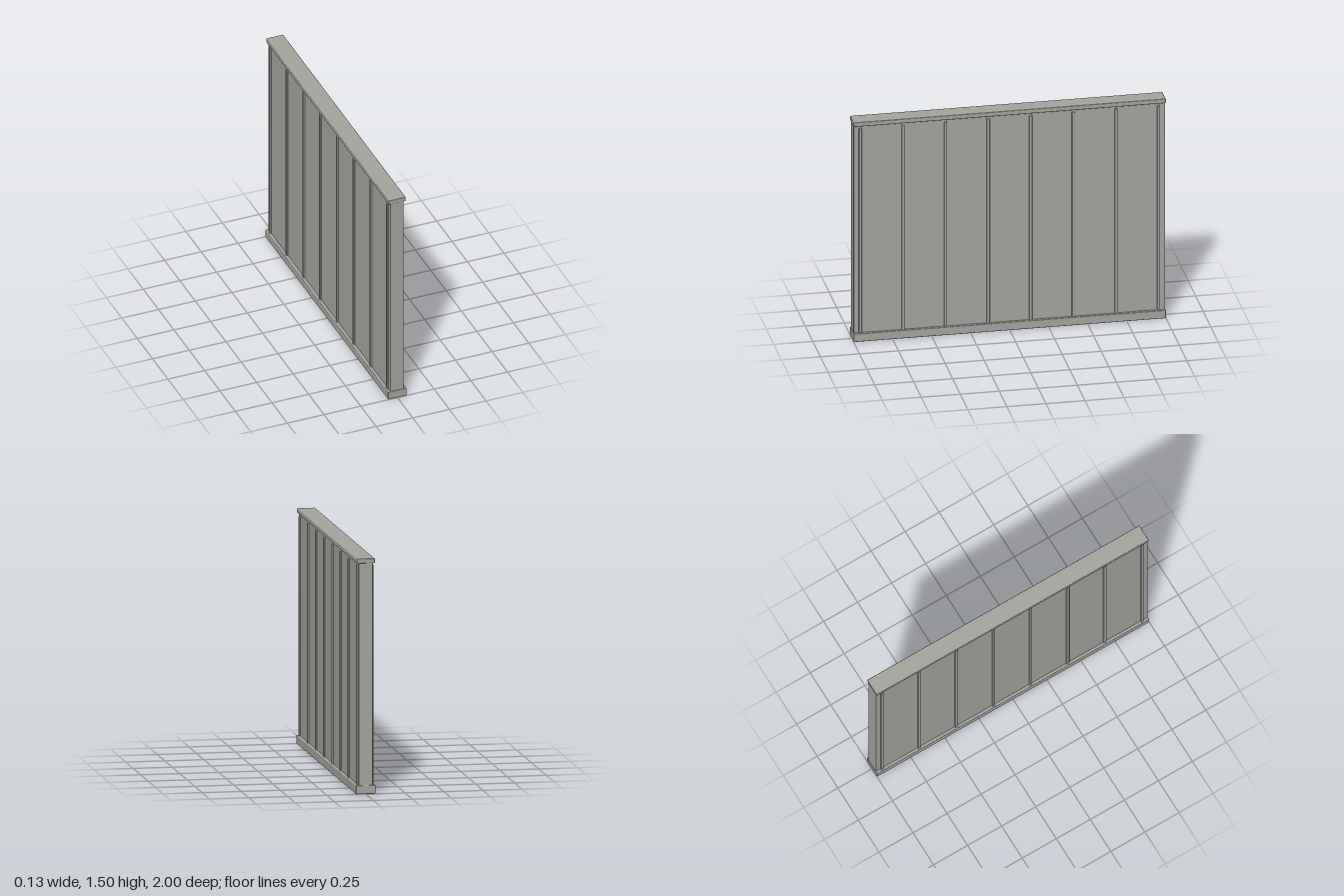
import * as THREE from 'three';
import { RoundedBoxGeometry } from 'three/addons/geometries/RoundedBoxGeometry.js';

export function createModel() {
  const model = new THREE.Group();
  model.name = 'wallPanel';
  const grey = new THREE.MeshStandardMaterial({ color: 0xa3a49e });
  grey.name = 'warmGrey';

  // Box with softened edges, placed by its bottom height
  function block(name, width, height, length, bevel, x, bottom, z) {
    const mesh = new THREE.Mesh(new RoundedBoxGeometry(width, height, length, 2, bevel), grey);
    mesh.name = name;
    mesh.position.set(x, bottom + height / 2, z);
    model.add(mesh);
  }

  // Main slab, with a wider skirting below and a cap rail above
  block('slab', 0.09, 1.46, 1.994, 0.002, 0, 0.02, 0);
  block('skirting', 0.126, 0.056, 2, 0.005, 0, 0, 0);
  block('capRail', 0.116, 0.03, 2, 0.005, 0, 1.47, 0);

  // Eight vertical battens on each face
  const count = 8, reach = 0.955;
  for (const side of [-1, 1]) {
    for (let i = 0; i < count; i++) {
      const z = -reach + (2 * reach * i) / (count - 1);
      block('batten', 0.02, 1.405, 0.02, 0.005, side * 0.045, 0.05, z);
    }
  }
  return model;
}
